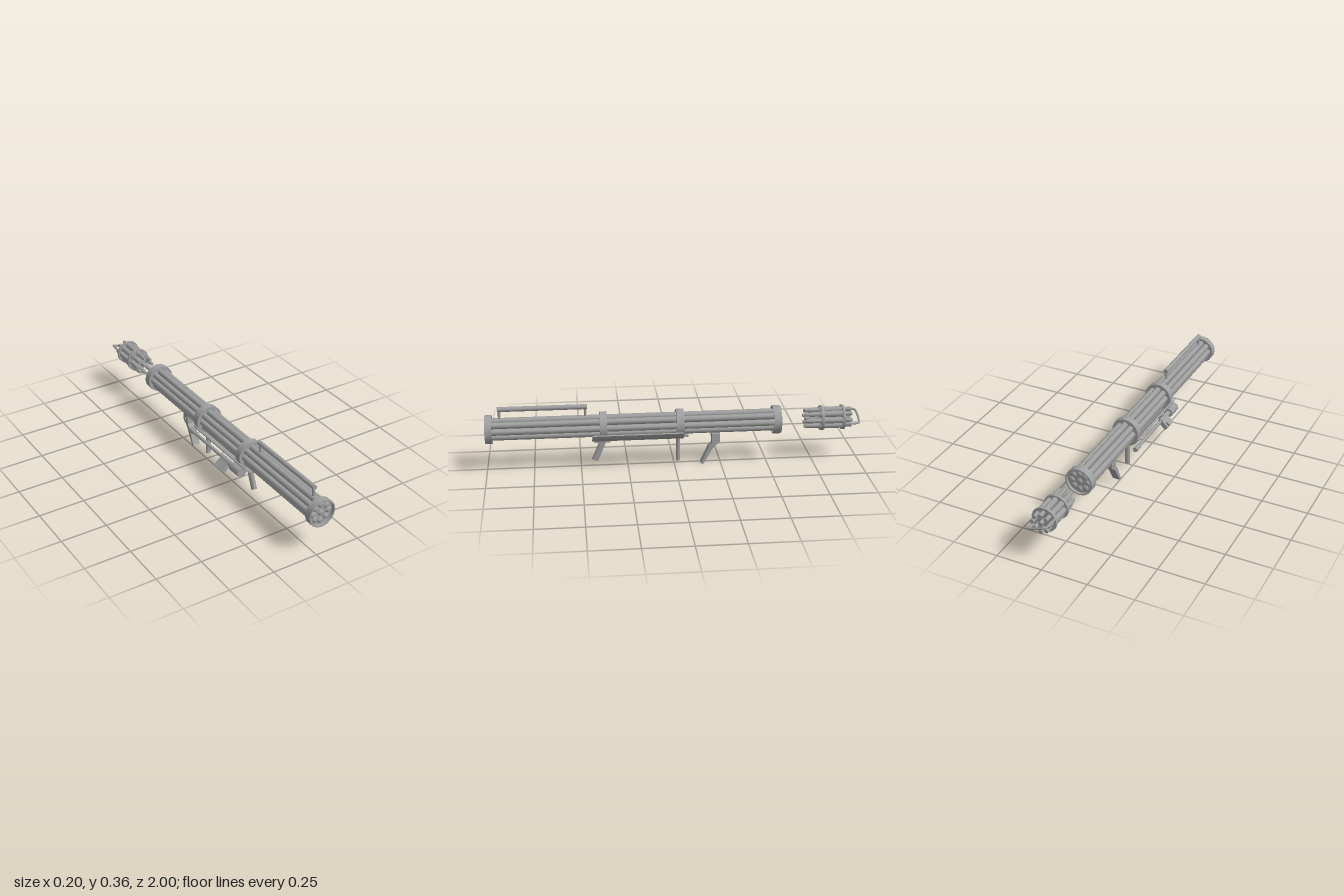
import * as THREE from 'three';
import { toCreasedNormals } from 'three/addons/utils/BufferGeometryUtils.js';

const CX = 0.022, CY = 0.236; // barrel axis

export function createModel() {
  const model = new THREE.Group();
  model.name = 'multiTubeLauncher';
  const grey = new THREE.MeshStandardMaterial({ color: 0xa0a0a0 });
  grey.name = 'metalGrey';

  const add = (name, geo, parent = model) => {
    const m = new THREE.Mesh(geo, grey);
    m.name = name;
    parent.add(m);
    return m;
  };
  // Cylinder lying along z, from z0 (back) to z1 (front)
  const rod = (name, z0, z1, rBack, rFront, x, y, sides = 8, parent = model) => {
    const geo = new THREE.CylinderGeometry(rFront, rBack, z1 - z0, sides);
    geo.rotateY(Math.PI / sides).rotateX(Math.PI / 2).translate(x, y, (z0 + z1) / 2);
    return add(name, geo, parent);
  };
  const box = (name, x0, x1, y0, y1, z0, z1, parent = model) => {
    const geo = new THREE.BoxGeometry(x1 - x0, y1 - y0, z1 - z0);
    geo.translate((x0 + x1) / 2, (y0 + y1) / 2, (z0 + z1) / 2);
    return add(name, geo, parent);
  };
  // Hollow collar along z
  const collar = (name, z0, z1, rIn, rOut, sides = 16, parent = model) => {
    const pts = [[rIn, z0], [rOut, z0], [rOut, z1], [rIn, z1], [rIn, z0]].map(p => new THREE.Vector2(...p));
    const geo = toCreasedNormals(new THREE.LatheGeometry(pts, sides), 0.7);
    geo.rotateX(Math.PI / 2).translate(CX, CY, 0);
    return add(name, geo, parent);
  };
  // Nine positions: one in the centre, eight around it
  const spots = [[CX, CY]];
  for (let i = 0; i < 8; i++) {
    const a = i * Math.PI / 4;
    spots.push([CX + 0.045 * Math.cos(a), CY + 0.045 * Math.sin(a)]);
  }

  // Launch tubes with shallow end caps
  const tubes = new THREE.Group();
  tubes.name = 'launchTubes';
  model.add(tubes);
  for (const [x, y] of spots) {
    rod('launchTube', -0.558, 0.985, 0.0172, 0.0172, x, y, 8, tubes);
    rod('frontCap', 0.985, 0.991, 0.0172, 0.008, x, y, 8, tubes);
    rod('rearCap', -0.564, -0.558, 0.008, 0.0172, x, y, 8, tubes);
  }

  // End collars with recessed plates, and middle bands
  collar('frontCollar', 0.963, 1.0, 0.069, 0.076);
  rod('frontPlate', 0.966, 0.982, 0.07, 0.07, CX, CY, 16);
  collar('rearCollar', -0.57, -0.528, 0.069, 0.076);
  rod('rearPlate', -0.555, -0.532, 0.07, 0.07, CX, CY, 16);
  rod('frontBand', 0.361, 0.398, 0.076, 0.076, CX, CY, 16);
  rod('rearBand', -0.048, -0.008, 0.076, 0.076, CX, CY, 16);

  // Curved guard under the tubes
  const arc = new THREE.Shape();
  const a0 = Math.PI * 1.125, a1 = Math.PI * 1.875;
  arc.absarc(0, 0, 0.084, a0, a1, false);
  arc.absarc(0, 0, 0.076, a1, a0, true);
  const guard = new THREE.ExtrudeGeometry(arc, { depth: 0.485, bevelEnabled: false, curveSegments: 10 });
  add('lowerGuard', toCreasedNormals(guard, 0.6).translate(CX, CY, -0.045));

  // Carrying handle
  rod('carryHandleBar', 0.462, 0.932, 0.0133, 0.0133, CX, 0.346);
  for (const z of [0.472, 0.922]) {
    const post = new THREE.CylinderGeometry(0.0075, 0.0075, 0.055, 8);
    add('carryHandlePost', post.translate(CX, 0.318, z));
  }

  // Slanted front grip and its mount
  const grip = add('frontGrip', new THREE.CylinderGeometry(0.0145, 0.0145, 0.122, 8).rotateY(Math.PI / 8).scale(1, 1, 1.25));
  grip.position.set(CX, 0.098, 0.403);
  grip.rotation.x = -0.4;
  box('gripMount', CX - 0.012, CX + 0.012, 0.142, 0.157, 0.342, 0.428);

  // Upright rear grip
  const post = new THREE.CylinderGeometry(0.0145, 0.0145, 0.14, 8).rotateY(Math.PI / 8).scale(1, 1, 0.75);
  add('rearGrip', post.translate(CX, 0.092, -0.02));
  box('rearGripMount', CX - 0.014, CX + 0.014, 0.158, 0.17, -0.076, -0.005);

  // Bent shoulder rest with a hinge pin
  const rest = new THREE.Shape([
    [0.2, 0.172], [0.2, 0.115], [0.185, 0.1], [0.142, 0.005], [0.155, 0],
    [0.2, 0.08], [0.215, 0.1], [0.245, 0.125], [0.245, 0.172],
  ].map(p => new THREE.Vector2(...p)));
  const restGeo = new THREE.ExtrudeGeometry(rest, { depth: 0.042, bevelEnabled: false });
  add('shoulderRest', restGeo.rotateY(Math.PI / 2).translate(CX - 0.021, 0, 0));
  const pin = new THREE.CylinderGeometry(0.008, 0.008, 0.056, 8).rotateZ(Math.PI / 2);
  add('hingePin', pin.translate(CX, 0.138, -0.223));

  // Side sight: thin tube, wide lens housing, eyepiece and slanted block
  const sx = -0.0525, sy = 0.162;
  const sight = new THREE.Group();
  sight.name = 'sight';
  model.add(sight);
  rod('sightTube', -0.04, 0.34, 0.01, 0.01, sx, sy, 8, sight);
  rod('sightLensHousing', 0.34, 0.42, 0.027, 0.027, sx, sy, 8, sight);
  rod('sightEyepiece', -0.08, -0.035, 0.014, 0.014, sx, sy, 8, sight);
  rod('sightCollar', 0.235, 0.34, 0.015, 0.015, sx, sy, 8, sight);
  const block = new THREE.Group();
  block.name = 'sightBlock';
  block.position.set(sx, sy, 0);
  block.rotation.z = -Math.PI / 4;
  sight.add(block);
  box('sightBlockBody', -0.013, 0.013, -0.054, -0.005, 0.265, 0.31, block);
  box('sightBlockPlate', -0.013, 0.013, -0.054, -0.005, 0.237, 0.25, block);
  box('sightBlockBridge', -0.013, 0.013, -0.026, -0.008, 0.25, 0.265, block);

  // Reload cluster behind the launcher
  const reload = new THREE.Group();
  reload.name = 'reloadCluster';
  model.add(reload);
  for (const [x, y] of spots) {
    rod('rocketNose', -0.735, -0.703, 0.0125, 0.009, x, y, 8, reload);
    rod('rocketNeck', -0.79, -0.735, 0.0125, 0.0125, x, y, 8, reload);
    rod('rocketBody', -0.915, -0.78, 0.0165, 0.0165, x, y, 8, reload);
    rod('rocketTail', -0.955, -0.915, 0.0115, 0.0115, x, y, 8, reload);
  }
  rod('frontClip', -0.802, -0.788, 0.068, 0.068, CX, CY, 16, reload);
  rod('rearClip', -0.917, -0.904, 0.068, 0.068, CX, CY, 16, reload);

  // Bent pull handle, tilted between the rockets
  const path = new THREE.CatmullRomCurve3(
    [[-1, -0.91], [-1, -0.965], [-0.94, -0.987], [-0.78, -0.994], [0.78, -0.994], [0.94, -0.987], [1, -0.965], [1, -0.91]]
      .map(([t, z]) => new THREE.Vector3(CX + t * 0.059, CY + 0.003 - t * 0.02, z)), false, 'centripetal');
  add('reloadHandle', new THREE.TubeGeometry(path, 40, 0.006, 8), reload);

  return model;
}
